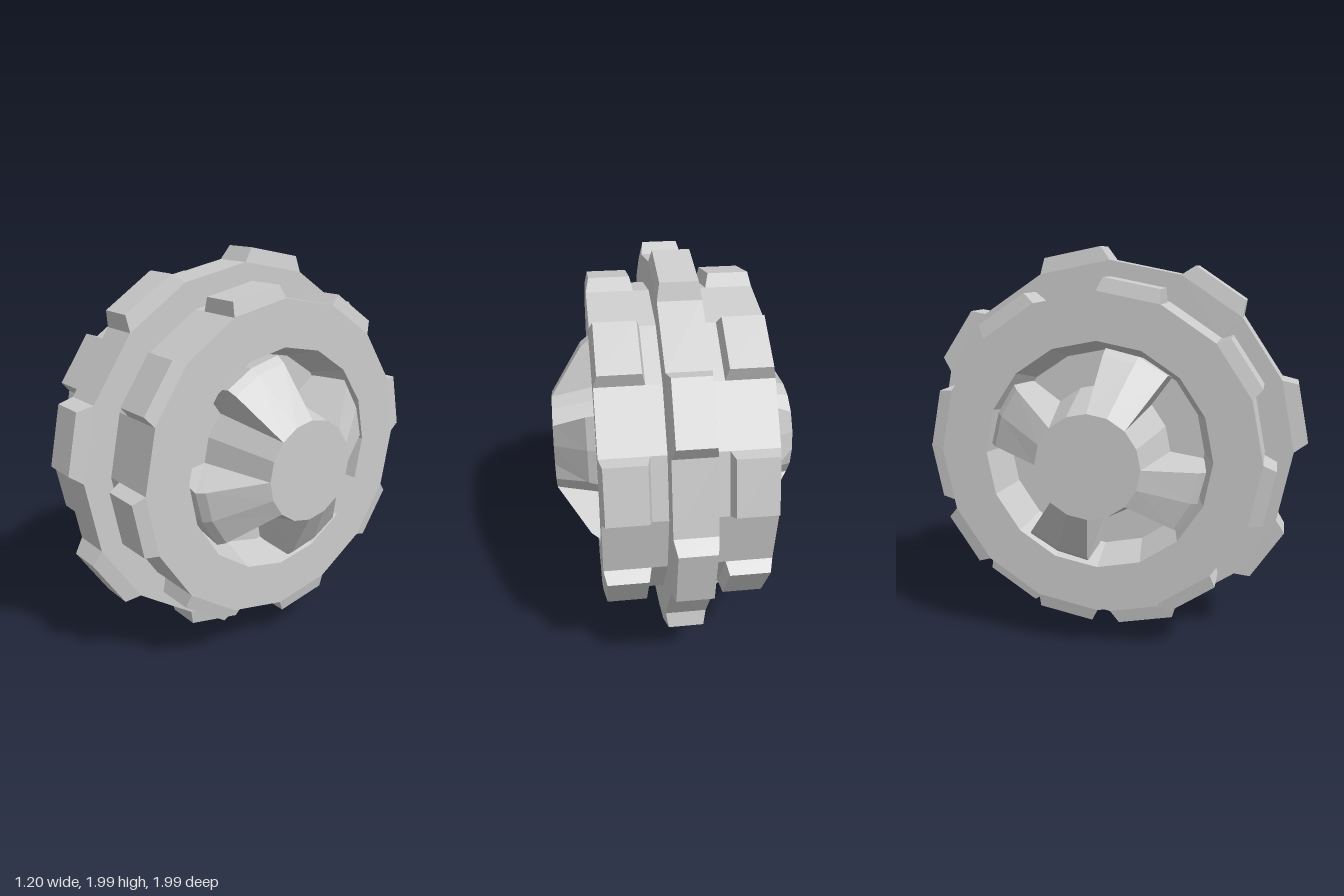
import * as THREE from 'three';

const SIDES = 16;
const STEP = (Math.PI * 2) / SIDES;
const material = new THREE.MeshStandardMaterial({ color: 0xcccccc, flatShading: true });

function mesh(name, geometry) {
  const m = new THREE.Mesh(geometry, material);
  m.name = name;
  return m;
}

// 16-sided solid of revolution about the x axis, from [radius, x] points
function turned(points) {
  const geo = new THREE.LatheGeometry(points.map(([r, x]) => new THREE.Vector2(r, x)), SIDES);
  return geo.rotateZ(-Math.PI / 2);
}

// Tapered tread block: y is radial, x runs across the tread, z along it
function lugGeometry(x0, x1, halfLength, topHalfLength, r0, r1, inset) {
  const geo = new THREE.BoxGeometry(1, 1, 1);
  const p = geo.attributes.position;
  for (let i = 0; i < p.count; i++) {
    const top = p.getY(i) > 0;
    const s = top ? inset : 0;
    p.setXYZ(i,
      p.getX(i) > 0 ? x1 - s : x0 + s,
      top ? r1 : r0,
      Math.sign(p.getZ(i)) * (top ? topHalfLength : halfLength));
  }
  geo.computeVertexNormals();
  return geo;
}

// Wedge spoke, swept from the hub cap to the rim in three columns
function spokeGeometry() {
  // radius, x, half angle in degrees
  const stations = [[0.25, 0.6, 22.5], [0.5, 0.44, 17.8], [0.53, 0.4, 17.5], [0.5, 0.2, 19.5]];
  const pos = [];
  const add = (r, x, deg) => {
    const a = THREE.MathUtils.degToRad(deg);
    pos.push(x, r * Math.cos(a), r * Math.sin(a));
  };
  for (const [r, x, a] of stations) for (const k of [-1, 0, 1]) add(r, x, a * k);
  const foot = stations.length * 3;
  add(0.33, 0.2, -22.5);
  add(0.33, 0.2, 22.5);

  const index = [];
  for (let i = 0; i < stations.length - 1; i++) {
    const a = i * 3, b = a + 3;
    for (let j = 0; j < 2; j++) {
      index.push(a + j, b + j, a + j + 1, b + j, b + j + 1, a + j + 1);
    }
    index.push(foot + 1, a + 2, b + 2, foot, b, a); // flanks
  }
  const geo = new THREE.BufferGeometry();
  geo.setAttribute('position', new THREE.Float32BufferAttribute(pos, 3));
  geo.setIndex(index);
  geo.computeVertexNormals();
  return geo;
}

export function createModel() {
  const model = new THREE.Group();
  model.name = 'wheel';
  const wheel = new THREE.Group();
  wheel.name = 'wheelBody';
  wheel.position.y = 1;
  model.add(wheel);

  // Tyre with raised middle ridge and sloping inner rim
  wheel.add(mesh('tyre', turned([
    [0.5, -0.2], [0.56, -0.4], [0.79, -0.4], [0.79, -0.1], [0.93, -0.1],
    [0.93, 0.1], [0.79, 0.1], [0.79, 0.4], [0.56, 0.4], [0.5, 0.2],
  ])));

  // Tread: ridge lugs alternate with paired shoulder lugs
  const half = Math.sin(STEP / 2), apothem = Math.cos(STEP / 2);
  const ridgeLug = lugGeometry(-0.1, 0.1, 0.93 * half, 0.148, 0.93 * apothem, 0.987, 0.013);
  const shoulderLugs = [[-0.4, -0.175], [0.175, 0.4]].map(([x0, x1]) =>
    lugGeometry(x0, x1, 0.79 * half, 0.137, 0.79 * apothem, 0.841, 0.015));
  for (let i = 0; i < SIDES / 2; i++) {
    const ridge = mesh('ridgeLug', ridgeLug);
    ridge.rotation.x = (2 * i - 0.5) * STEP;
    wheel.add(ridge);
    for (const geo of shoulderLugs) {
      const lug = mesh('shoulderLug', geo);
      lug.rotation.x = (2 * i + 0.5) * STEP;
      wheel.add(lug);
    }
  }

  // Hub with four spokes on each side
  const hub = turned([[0.5, 0.2], [0.33, 0.2], [0.25, 0.6], [0, 0.6]]);
  const spoke = spokeGeometry();
  for (const side of ['left', 'right']) {
    const group = new THREE.Group();
    group.name = side + 'Hub';
    if (side === 'right') group.rotation.y = Math.PI;
    group.add(mesh('hubCone', hub));
    for (let i = 0; i < 4; i++) {
      const s = mesh('spoke', spoke);
      // the turned side starts two facets further on, so spokes line up
      s.rotation.x = (4 * i + (side === 'left' ? 1 : -1)) * STEP;
      group.add(s);
    }
    wheel.add(group);
  }
  return model;
}
